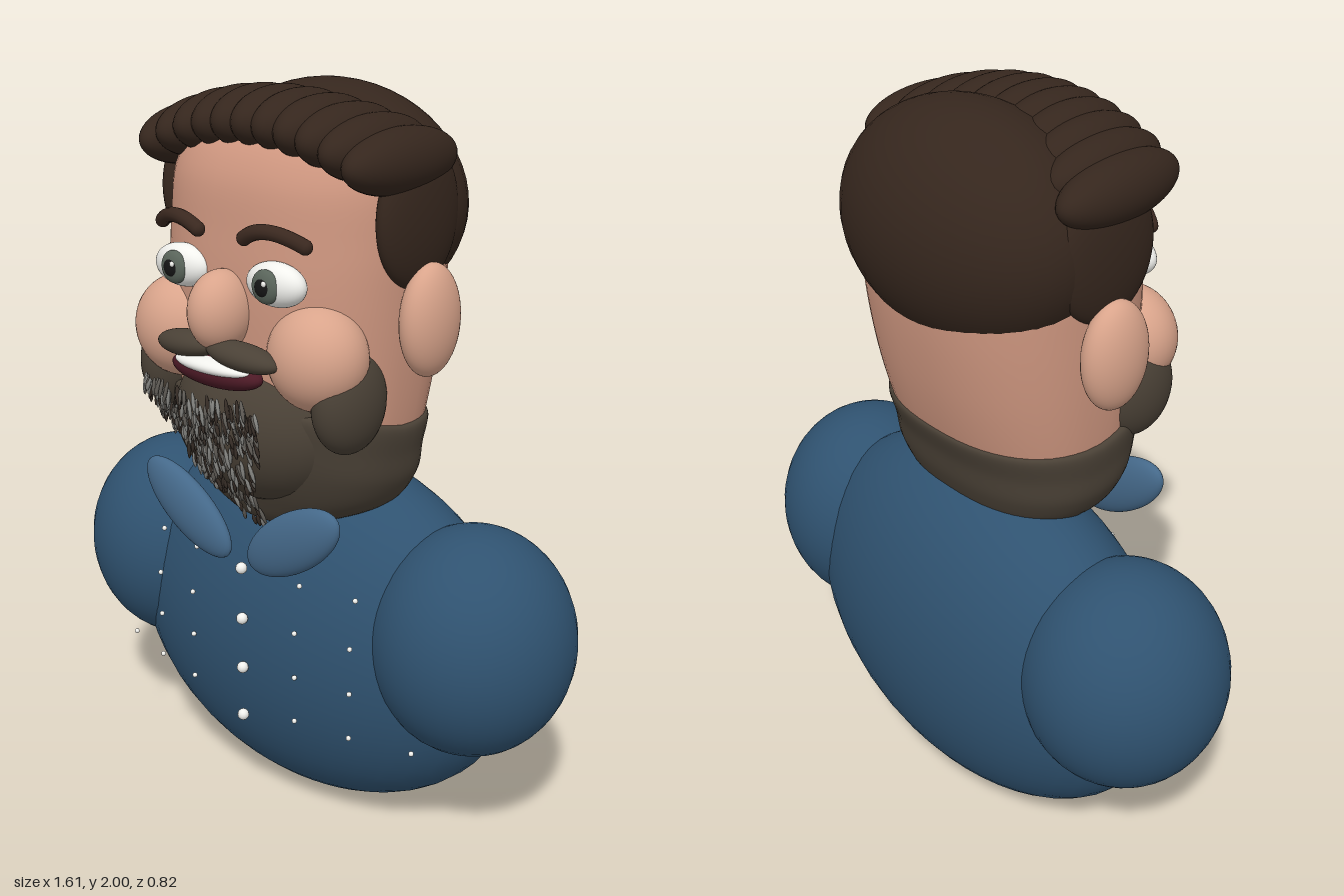
import * as THREE from 'three';
import { mergeGeometries } from 'three/addons/utils/BufferGeometryUtils.js';

const mat = (color) => new THREE.MeshStandardMaterial({ color });
const M = {
  skin: mat(0xcf9780), blush: mat(0xd9a48b), hair: mat(0x35261d), beard: mat(0x4a4136),
  brow: mat(0x3a281f), cloth: mat(0x2f5270), collar: mat(0x45698a), white: mat(0xf0f0ec),
  iris: mat(0x59645a), pupil: mat(0x151515), lip: mat(0x4d1a26),
};
const BALL = new THREE.SphereGeometry(1, 40, 28);
const BEAD = new THREE.SphereGeometry(1, 12, 8);

export function createModel() {
  const model = new THREE.Group();

  function add(name, geometry, material) {
    const mesh = new THREE.Mesh(geometry, material);
    mesh.name = name;
    model.add(mesh);
    return mesh;
  }
  // Ellipsoid with centre p, radii r and rotation e
  function blob(name, material, p, r, e = [0, 0, 0], geometry = BALL) {
    const mesh = add(name, geometry, material);
    mesh.position.set(...p);
    mesh.scale.set(...r);
    mesh.rotation.set(...e);
    return mesh;
  }
  // Calls fn for the left (+1) and right (-1) sides
  const both = (fn) => [['left', 1], ['right', -1]].forEach(([n, s]) => fn(n, s));

  // Rounded loft through rings [y, half width, front z, back z], bottom to top
  function loft(rings, lift = 0) {
    const N = 56, ROWS = 40, pos = [], idx = [];
    const curve = (f) => new THREE.CatmullRomCurve3(rings.map(f), false, 'catmullrom');
    const a = curve(([y, w, f]) => new THREE.Vector3(w, y, f));
    const b = curve(([y, , , k]) => new THREE.Vector3(k, y, 0));
    const round = (v) => Math.sign(v) * Math.abs(v) ** (2 / 2.4);
    for (let i = 0; i <= ROWS; i++) {
      const p = a.getPoint(i / ROWS), back = b.getPoint(i / ROWS).x;
      for (let j = 0; j < N; j++) {
        const t = (j / N) * Math.PI * 2;
        const z = (p.z + back) / 2 + ((p.z - back) / 2) * round(Math.sin(t));
        pos.push(p.x * round(Math.cos(t)), p.y + lift * Math.max(0, z) * (i / ROWS), z);
        if (i < ROWS) {
          const q = i * N + j, r = i * N + ((j + 1) % N);
          idx.push(q, q + N, r, r, q + N, r + N);
        }
      }
    }
    const g = new THREE.BufferGeometry();
    g.setAttribute('position', new THREE.Float32BufferAttribute(pos, 3));
    g.setIndex(idx);
    g.computeVertexNormals();
    return g;
  }

  // Torso, shoulders and collar
  blob('torso', M.cloth, [0, 0.515, -0.08], [0.65, 0.51, 0.312]);
  both((n, s) => {
    blob(n + 'Shoulder', M.cloth, [s * 0.535, 0.615, -0.065], [0.272, 0.31, 0.273]);
    blob(n + 'Collar', M.collar, [s * 0.187, 0.888, 0.247], [0.178, 0.078, 0.038], [0, 0, s * 0.58]);
  });

  // Front buttons and small shirt dots
  for (const y of [0.76, 0.612, 0.465, 0.32])
    blob('button', M.white, [0, y, 0.241], [0.016, 0.016, 0.016], [0, 0, 0], BEAD);
  [0.75, 0.62, 0.49, 0.36].forEach((y) => {
    for (const x of [-0.53, -0.365, -0.205, 0.175, 0.34, 0.51])
      blob('shirtDot', M.white, [x, y, 0.237 - 0.33 * x * x - (y > 0.7 ? 0.02 : 0)],
        [0.007, 0.007, 0.007], [0, 0, 0], BEAD);
  });

  // Head
  add('head', loft([
    [1.05, 0.32, 0.2, -0.2], [1.16, 0.342, 0.25, -0.245], [1.32, 0.357, 0.27, -0.288],
    [1.5, 0.365, 0.28, -0.317], [1.65, 0.365, 0.272, -0.32], [1.8, 0.345, 0.25, -0.28],
    [1.9, 0.27, 0.17, -0.2], [1.94, 0.002, 0, -0.004],
  ]), M.skin);

  // Beard: jaw wrap, chin and side whiskers
  add('jawBeard', loft([
    [0.855, 0.002, 0.1, 0.09], [0.88, 0.14, 0.175, -0.1], [0.94, 0.28, 0.215, -0.18],
    [1.02, 0.34, 0.25, -0.22], [1.1, 0.352, 0.272, -0.236], [1.17, 0.356, 0.28, -0.255],
    [1.18, 0.32, 0.24, -0.22],
  ], 0.25), M.beard);
  blob('chinBeard', M.beard, [0, 1.16, 0.13], [0.27, 0.22, 0.21]);
  both((n, s) => blob(n + 'Whisker', M.beard, [s * 0.3, 1.27, 0.165], [0.075, 0.133, 0.115]));

  // Beard bristles, scattered over the chin in a wedge
  let seed = 7;
  const rand = () => (seed = (seed * 16807) % 2147483647) / 2147483647;
  const strands = [[], [], []];
  for (let i = 0; i < 330; i++) {
    const y = 0.88 + 0.4 * Math.sqrt(rand());
    const x = (rand() * 2 - 1) * (0.03 + (y - 0.87) * 0.42);
    const d = 1 - (x / 0.27) ** 2 - ((y - 1.16) / 0.22) ** 2;
    const z = Math.max(0.13 + 0.21 * Math.sqrt(Math.max(0, d)), 0.17 + (y - 0.86) * 0.6 - x * x);
    const g = new THREE.SphereGeometry(1, 6, 5);
    g.scale(0.0055, 0.018 + 0.014 * rand(), 0.0055);
    g.rotateX((1.13 - y) * 1.2 + 0.15);
    g.rotateZ(x * 1.2 + (rand() - 0.5) * 0.4);
    g.translate(x, y, z + 0.005);
    strands[i % 3].push(g);
  }
  [0x8a8a86, 0x66625c, 0x3a3029].forEach((c, i) => add('bristles', mergeGeometries(strands[i]), mat(c)));

  // Nose, mouth and moustache
  blob('nose', M.blush, [0, 1.475, 0.3], [0.075, 0.103, 0.093]);
  blob('lips', M.lip, [0, 1.325, 0.318], [0.15, 0.042, 0.05]);
  blob('teeth', M.white, [0, 1.342, 0.333], [0.125, 0.022, 0.042]);

  both((n, s) => {
    blob(n + 'Moustache', M.beard, [s * 0.095, 1.38, 0.325], [0.108, 0.034, 0.045], [0, s * 0.12, -s * 0.1]);
    blob(n + 'Cheek', M.blush, [s * 0.233, 1.378, 0.205], [0.133, 0.135, 0.117]);
    blob(n + 'Ear', M.blush, [s * 0.405, 1.46, -0.013], [0.061, 0.143, 0.097]);

    // Eyes
    blob(n + 'Eye', M.white, [s * 0.158, 1.56, 0.27], [0.09, 0.055, 0.045]);
    blob(n + 'Iris', M.iris, [s * 0.155, 1.56, 0.305], [0.042, 0.042, 0.02]);
    blob(n + 'Pupil', M.pupil, [s * 0.155, 1.56, 0.315], [0.025, 0.025, 0.014]);
    blob(n + 'Glint', M.white, [s * 0.155 + 0.012, 1.572, 0.326], [0.007, 0.007, 0.005], [0, 0, 0], BEAD);

    // Eyebrows with rounded ends
    const ends = [new THREE.Vector3(s * 0.078, 1.665, 0.297), new THREE.Vector3(s * 0.24, 1.66, 0.26)];
    const arc = new THREE.QuadraticBezierCurve3(ends[0], new THREE.Vector3(s * 0.15, 1.715, 0.31), ends[1]);
    add(n + 'Eyebrow', new THREE.TubeGeometry(arc, 20, 0.019, 12), M.brow);
    ends.forEach((p) => blob(n + 'EyebrowEnd', M.brow, p.toArray(), [0.019, 0.019, 0.019], [0, 0, 0], BEAD));

    // Hair at the temples
    blob(n + 'TempleHair', M.hair, [s * 0.36, 1.71, -0.012], [0.052, 0.18, 0.148]);
  });

  // Hair cap and swept front locks
  blob('hairCap', M.hair, [0, 1.7, -0.115], [0.392, 0.3, 0.268]);
  for (let i = 0; i <= 10; i++) {
    const x = -0.345 + i * 0.069, side = Math.abs(x) / 0.345;
    blob('hairLock', M.hair, [x, 1.92 - 0.62 * x * x, 0.085 - 0.045 * side * side],
      [0.078, 0.08, 0.165 + 0.04 * side * side], [0, 0.08 - x * 0.15, -x * 0.6]);
  }
  return model;
}
